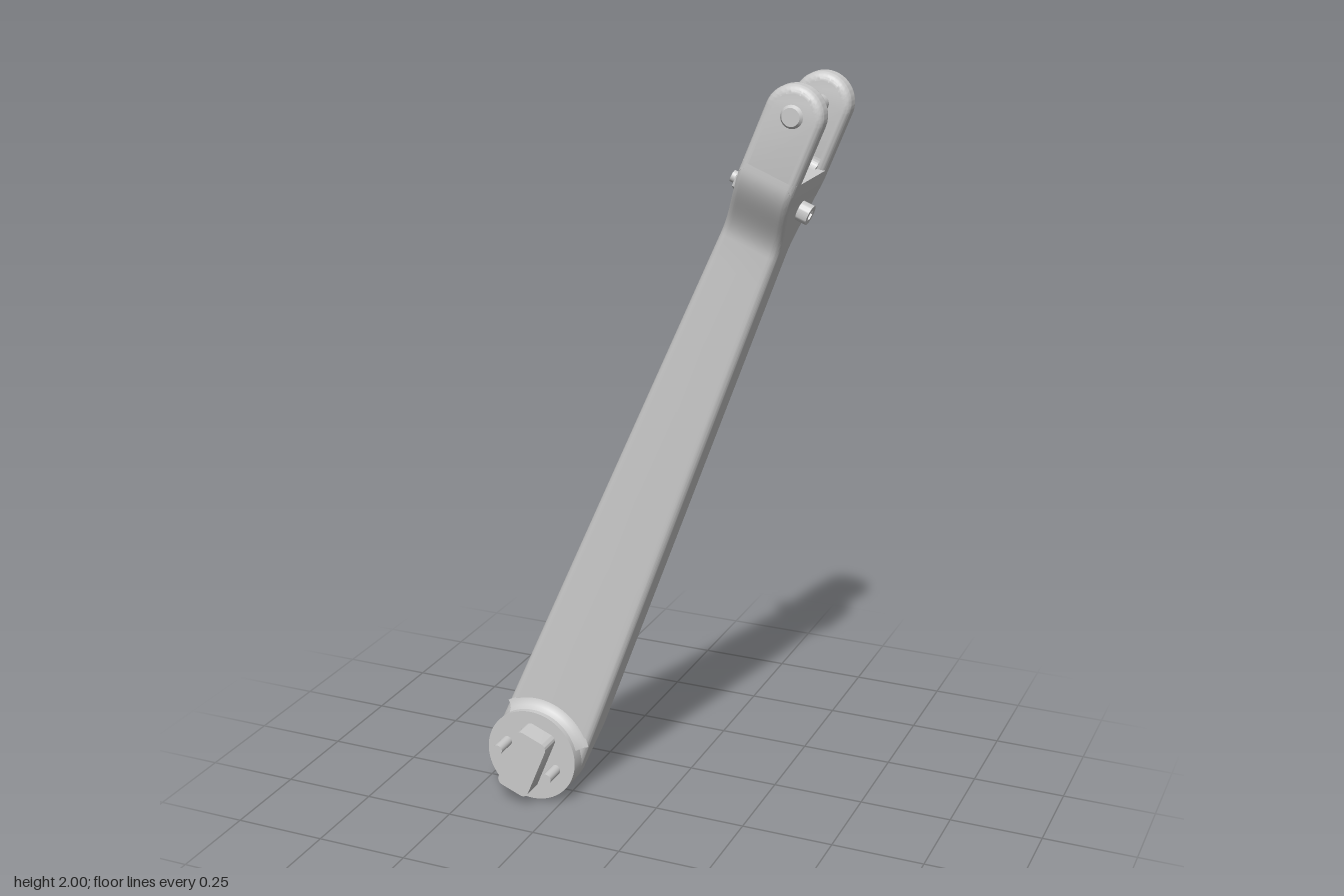
import * as THREE from 'three';
import { toCreasedNormals } from 'three/addons/utils/BufferGeometryUtils.js';

const HUB = 0.13, TIP = 0.073, LEN = 1.937, FLOOR = 1.79, MID = -0.005;
const HALF = 0.048, FORK = 0.13, GAP = 0.07;
const material = new THREE.MeshStandardMaterial({ color: 0xcccccc });
const thin = new THREE.MeshStandardMaterial({ color: 0xcccccc, side: THREE.DoubleSide });

function add(parent, name, geometry, x = 0, y = 0, z = 0, mat = material) {
  const mesh = new THREE.Mesh(geometry, mat);
  mesh.name = name;
  mesh.position.set(x, y, z);
  parent.add(mesh);
  return mesh;
}

// Cylinder whose axis runs along z
const rod = (r, length, sides = 28) =>
  new THREE.CylinderGeometry(r, r, length, sides).rotateX(Math.PI / 2);

// Rounded rectangle outline in x and z, walked from +x towards +z
function section(w, z0, z1) {
  const h = (z1 - z0) / 2, c = (z0 + z1) / 2, r = Math.min(0.02, w * 0.95, h * 0.95);
  const pts = [], n = 8;
  [[1, 1], [-1, 1], [-1, -1], [1, -1]].forEach(([sx, sz], k) => {
    for (let i = 0; i <= n; i++) {
      const a = (k + i / n) * Math.PI / 2;
      pts.push([sx * (w - r) + r * Math.cos(a), c + sz * (h - r) + r * Math.sin(a)]);
    }
  });
  return pts;
}

// Closed skin over sections stacked along y
function loft(levels, sectionAt) {
  const pos = [], idx = [];
  let n = 0;
  for (const y of levels) {
    const ring = sectionAt(y);
    n = ring.length;
    for (const [x, z] of ring) pos.push(x, y, z);
  }
  for (let i = 0; i < levels.length - 1; i++)
    for (let j = 0; j < n; j++) {
      const a = i * n + j, b = i * n + (j + 1) % n;
      idx.push(a, a + n, b, b, a + n, b + n);
    }
  const top = (levels.length - 1) * n;
  for (let j = 1; j < n - 1; j++) idx.push(0, j, j + 1, top, top + j + 1, top + j);
  const g = new THREE.BufferGeometry();
  g.setAttribute('position', new THREE.Float32BufferAttribute(pos, 3));
  g.setIndex(idx);
  return toCreasedNormals(g, 0.25);
}

// Arm: round sloped foot, tapered shank, flare into the fork base
function armGeometry() {
  const levels = [];
  for (let i = 1; i <= 20; i++) levels.push(-HUB * Math.cos((i / 20) * Math.PI / 2));
  levels.push(0.06, 0.125, 0.135, 0.15, 0.6, 1.1, 1.5);
  for (let i = 0; i <= 18; i++) levels.push(1.575 + 0.2 * i / 18);
  levels.push(FLOOR);
  return loft(levels, (y) => {
    const taper = HUB + (TIP - HUB) * Math.min(1, Math.max(0, y / 1.72));
    const w = y < 0 ? Math.sqrt(Math.max(HUB * HUB - y * y, 1e-4)) : taper;
    const h = HALF + (FORK - HALF) * THREE.MathUtils.smoothstep(y, 1.575, 1.775);
    const slope = Math.max(0, 0.13 - y) * 0.28;
    return section(w, MID - h + slope, MID + h);
  });
}

// Fork prong with rounded edges all round
function prongGeometry() {
  const b = 0.02, r = TIP - b;
  const s = new THREE.Shape();
  s.moveTo(-r, 1.78);
  s.lineTo(r, 1.78);
  s.lineTo(r, LEN);
  s.absarc(0, LEN, r, 0, Math.PI, false);
  s.closePath();
  const g = new THREE.ExtrudeGeometry(s, {
    depth: FORK - GAP - 2 * b, bevelThickness: b, bevelSize: b, bevelSegments: 6, curveSegments: 28,
  });
  return toCreasedNormals(g.translate(0, 0, -(FORK - GAP - 2 * b) / 2), 0.4);
}

// Round screw head with a hexagonal socket, facing +z
function socketHead(name, r, depth) {
  const head = new THREE.Group();
  head.name = name;
  const s = new THREE.Shape().absarc(0, 0, r, 0, Math.PI * 2);
  const hex = new THREE.Path();
  for (let i = 0; i <= 6; i++) {
    const a = -i * Math.PI / 3;
    hex[i ? 'lineTo' : 'moveTo'](r * 0.55 * Math.cos(a), r * 0.55 * Math.sin(a));
  }
  s.holes.push(hex);
  const g = new THREE.ExtrudeGeometry(s, { depth, bevelEnabled: false, curveSegments: 24 });
  add(head, 'headRim', toCreasedNormals(g, 0.5));
  add(head, 'socketFloor', new THREE.CircleGeometry(r * 0.8, 24), 0, 0, depth * 0.3);
  return head;
}

export function createModel() {
  const model = new THREE.Group();
  model.name = 'crankArm';
  const arm = new THREE.Group();
  arm.name = 'tiltedArm';
  arm.position.set(-0.335, 0.13, 0);
  arm.rotation.z = -0.383;
  model.add(arm);

  add(arm, 'armBody', armGeometry());

  // Fork prongs and the fillets at the slot floor
  for (const side of [-1, 1]) {
    add(arm, 'forkProng', prongGeometry(), 0, 0, MID + side * (FORK + GAP) / 2);
    const f = new THREE.Shape();
    f.moveTo(0, 0);
    f.lineTo(0.025, 0);
    f.quadraticCurveTo(0, 0, 0, 0.025);
    const fillet = new THREE.ExtrudeGeometry(f, { depth: 0.11, bevelEnabled: false, curveSegments: 8 });
    fillet.translate(0, 0, -0.055).rotateY(side * Math.PI / 2);
    add(arm, 'slotFillet', fillet, 0, FLOOR, MID + side * GAP);
  }

  // Cross pin with low chamfered ends
  add(arm, 'crossPin', rod(0.022, 0.27), 0, LEN, MID);
  for (const side of [-1, 1]) {
    const cap = new THREE.CylinderGeometry(0.022, 0.028, 0.008, 28).rotateX(side * Math.PI / 2);
    add(arm, 'pinEnd', cap, 0, LEN, MID + side * (FORK + 0.004));
  }

  // Hub disc with a fillet blending into the shank
  add(arm, 'hubDisc', rod(HUB, 0.06, 64), 0, 0, 0.05);
  const blend = [[0.158, 0.042], [0.146, 0.045], [0.137, 0.052], [0.13, 0.066]]
    .map(([x, y]) => new THREE.Vector2(x, y));
  add(arm, 'hubFillet', new THREE.LatheGeometry(blend, 32, Math.PI - 0.95, 1.9).rotateX(Math.PI / 2),
    0, 0, 0, thin);

  // Rectangular drive key with rounded corners
  const w = 0.047, h = 0.09, r = 0.018;
  const key = new THREE.Shape();
  key.absarc(w - r, h - r, r, 0, Math.PI / 2);
  key.absarc(r - w, h - r, r, Math.PI / 2, Math.PI);
  key.absarc(r - w, r - h, r, Math.PI, Math.PI * 1.5);
  key.absarc(w - r, r - h, r, Math.PI * 1.5, Math.PI * 2);
  const keyGeo = new THREE.ExtrudeGeometry(key, { depth: 0.07, bevelEnabled: false, curveSegments: 6 });
  add(arm, 'driveKey', toCreasedNormals(keyGeo, 0.5), 0, 0, 0.07);

  // Locating pins in front, their socket screws on the sloped back
  for (const side of [-1, 1]) {
    add(arm, 'locatingPin', rod(0.014, 0.07, 20), side * 0.078, 0, 0.105);
    const screw = socketHead('backScrew', 0.025, 0.02);
    screw.position.set(side * 0.075, 0.01, -0.002);
    screw.rotation.x = Math.PI + 0.273;
    arm.add(screw);
  }

  // Clamp bolt across the fork base: socket head on one side, nut and thread end on the other
  const bolt = new THREE.Group();
  bolt.name = 'clampBolt';
  bolt.position.set(0, 1.702, MID);
  bolt.rotation.y = Math.PI / 2;
  arm.add(bolt);
  const head = socketHead('boltHead', 0.025, 0.032);
  head.position.z = 0.07;
  bolt.add(head);
  add(bolt, 'boltShank', rod(0.015, 0.17), 0, 0, -0.027);
  add(bolt, 'hexNut', toCreasedNormals(rod(0.029, 0.028, 6), 0.5), 0, 0, -0.084);
  return model;
}
